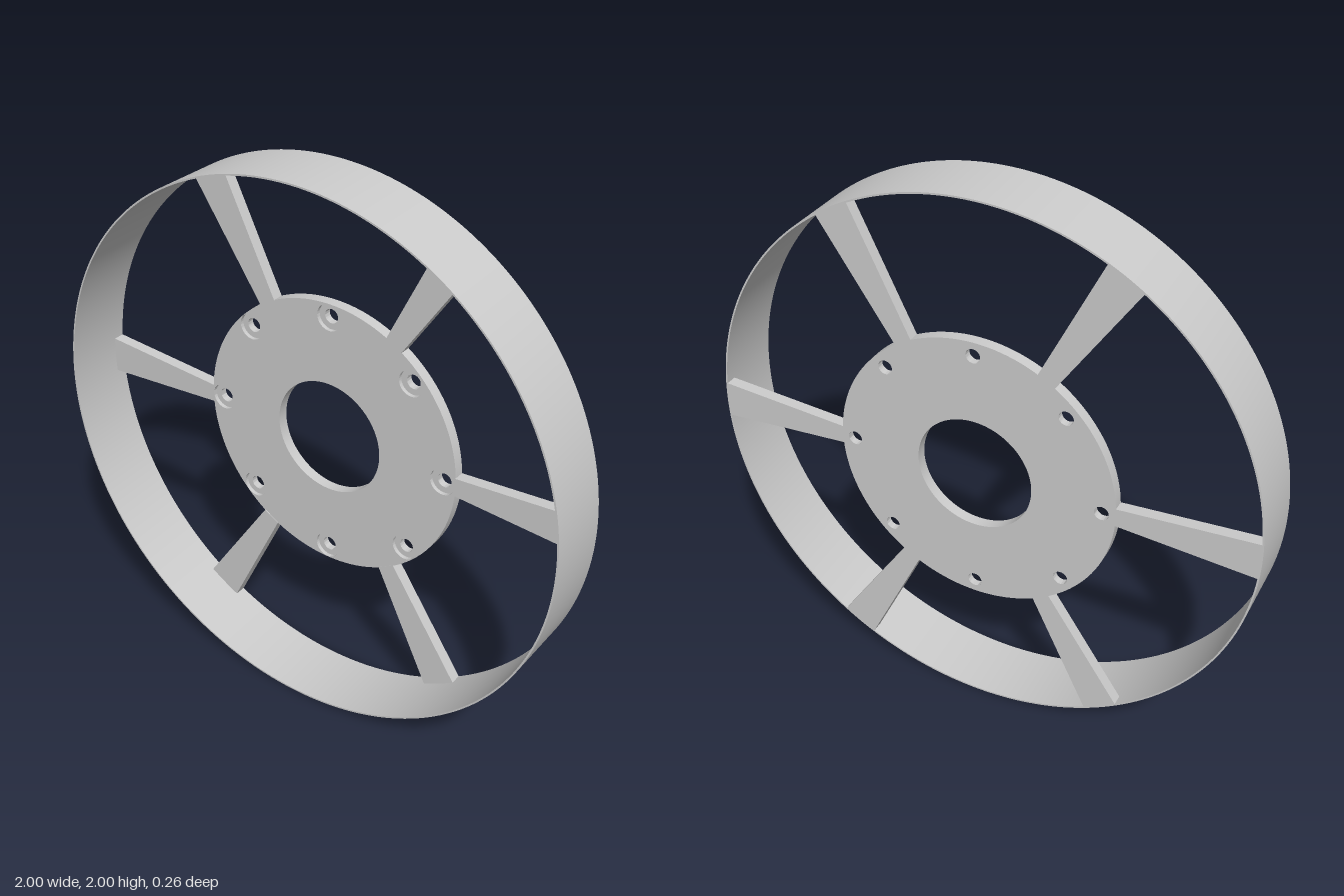
import * as THREE from 'three';
import { toCreasedNormals } from 'three/addons/utils/BufferGeometryUtils.js';

const BACK = -0.128;          // back face of rim, hub and spokes
const RIM_DEPTH = 0.256;
const HUB_R = 0.512, BORE_R = 0.212;
const BOLT_CIRCLE = 0.462, BOLTS = 8, SPOKES = 6;

const material = new THREE.MeshStandardMaterial({ color: 0xcccccc });

// Circular plate with round holes given as [x, y, radius]
function plate(radius, holes) {
  const shape = new THREE.Shape().absarc(0, 0, radius, 0, Math.PI * 2, false);
  for (const [x, y, r] of holes) {
    shape.holes.push(new THREE.Path().absarc(x, y, r, 0, Math.PI * 2, true));
  }
  return shape;
}

// Extrude a shape along z from z0, smooth around curves and sharp at edges
function extruded(name, shape, z0, depth, curveSegments = 64) {
  const geometry = new THREE.ExtrudeGeometry(shape, { depth, curveSegments, bevelEnabled: false });
  geometry.translate(0, 0, z0);
  const mesh = new THREE.Mesh(toCreasedNormals(geometry, 0.6), material);
  mesh.name = name;
  return mesh;
}

function hubHoles(boltRadius) {
  const holes = [[0, 0, BORE_R]];
  for (let i = 0; i < BOLTS; i++) {
    const a = (i / BOLTS) * Math.PI * 2;
    holes.push([Math.cos(a) * BOLT_CIRCLE, Math.sin(a) * BOLT_CIRCLE, boltRadius]);
  }
  return holes;
}

export function createModel() {
  const model = new THREE.Group();
  model.name = 'spokedWheel';

  // Thin outer band
  model.add(extruded('rim', plate(1, [[0, 0, 0.994]]), BACK, RIM_DEPTH, 128));

  // Hub disc: bolt holes behind, wider shallow recesses in the front layer
  const hub = new THREE.Group();
  hub.name = 'hub';
  hub.add(extruded('hubPlate', plate(HUB_R, hubHoles(0.026)), BACK, 0.026));
  hub.add(extruded('hubRecessLayer', plate(HUB_R, hubHoles(0.048)), BACK + 0.026, 0.014));
  model.add(hub);

  // Flat spokes widening towards the rim
  const spokeShape = new THREE.Shape([
    new THREE.Vector2(0.509, -0.034),
    new THREE.Vector2(0.993, -0.068),
    new THREE.Vector2(0.996, 0),
    new THREE.Vector2(0.993, 0.068),
    new THREE.Vector2(0.509, 0.034),
  ]);
  for (let i = 0; i < SPOKES; i++) {
    const spoke = extruded('spoke', spokeShape, BACK, 0.042);
    spoke.rotation.z = (i / SPOKES) * Math.PI * 2;
    model.add(spoke);
  }

  // Stand the wheel on the ground
  for (const part of model.children) part.position.y = 1;
  return model;
}
